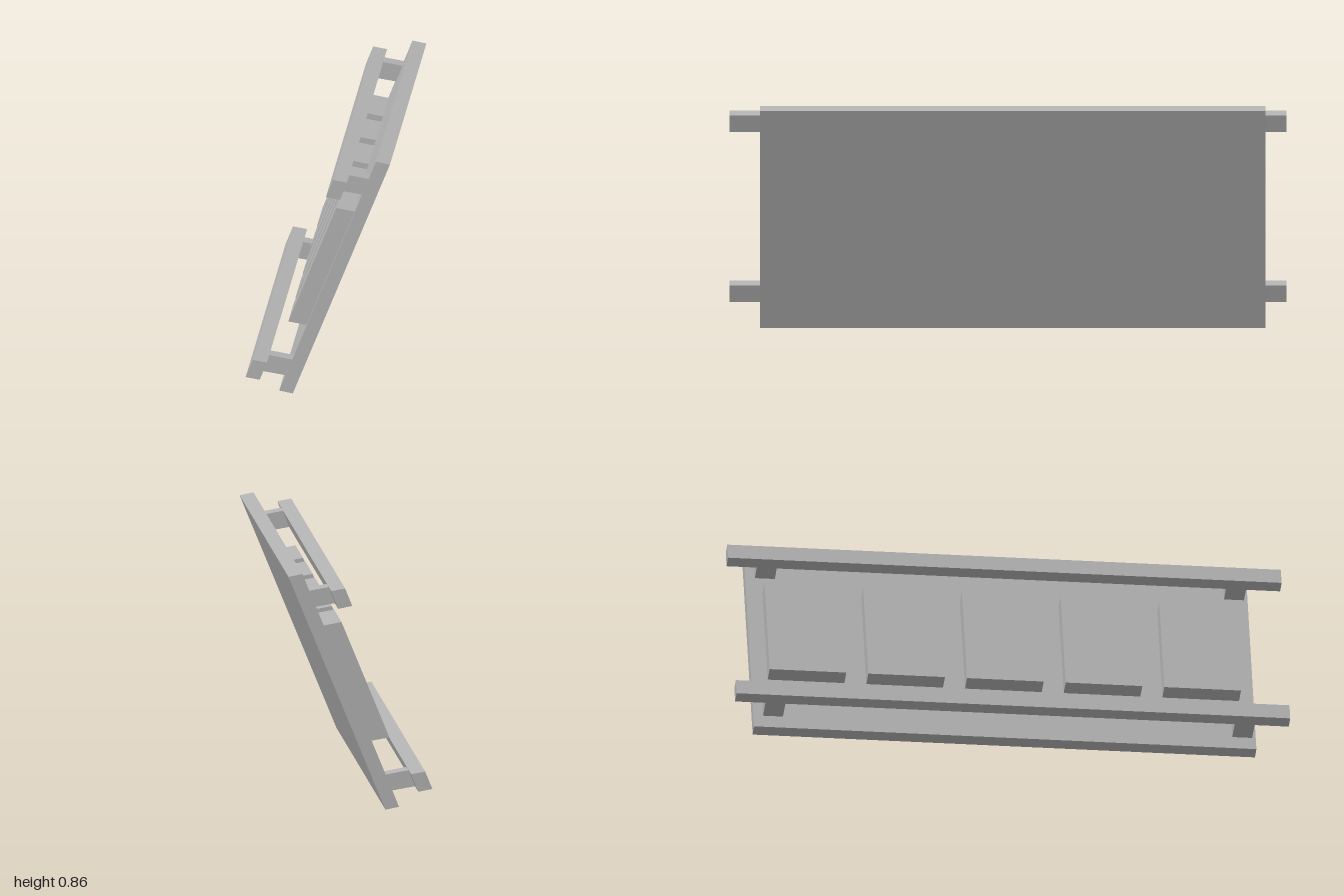
import * as THREE from 'three';

export function createModel() {
  const model = new THREE.Group();
  model.name = 'tiltedPanel';
  const grey = new THREE.MeshStandardMaterial({ color: 0xb3b3b3 });
  grey.name = 'grey';

  // Extrudes a slanted cross-section (x, y) from z0 to z1
  function bar(name, corners, z0, z1) {
    const shape = new THREE.Shape(corners.map(([x, y]) => new THREE.Vector2(x, y)));
    const geometry = new THREE.ExtrudeGeometry(shape, { depth: z1 - z0, bevelEnabled: false });
    geometry.translate(0, 0, z0);
    const mesh = new THREE.Mesh(geometry, grey);
    mesh.name = name;
    model.add(mesh);
  }

  // Leaning flat panel
  bar('panel', [[-0.144, 0.01], [-0.095, 0], [0.255, 0.853], [0.205, 0.863]], -0.925, 0.89);

  // Row of five blocks on the rear face
  const blockProfile = [[-0.115, 0.253], [-0.049, 0.242], [0.124, 0.664], [0.058, 0.676]];
  for (let i = 0; i < 5; i++) {
    const z = -0.727 + i * 0.3565;
    bar('block', blockProfile, z - 0.1385, z + 0.1385);
  }

  // Long rails, each carried by a standoff at either end
  const mounts = [
    {
      name: 'upper',
      rail: [[0.032, 0.756], [0.083, 0.746], [0.108, 0.811], [0.058, 0.82]],
      standoff: [[0.083, 0.749], [0.154, 0.737], [0.178, 0.795], [0.107, 0.808]],
    },
    {
      name: 'lower',
      rail: [[-0.257, 0.085], [-0.206, 0.076], [-0.18, 0.14], [-0.231, 0.149]],
      standoff: [[-0.205, 0.078], [-0.122, 0.064], [-0.098, 0.122], [-0.181, 0.137]],
    },
  ];
  for (const { name, rail, standoff } of mounts) {
    bar(name + 'Rail', rail, -1, 1);
    bar(name + 'Standoff', standoff, -0.89, -0.818);
    bar(name + 'Standoff', standoff, 0.805, 0.877);
  }
  return model;
}
